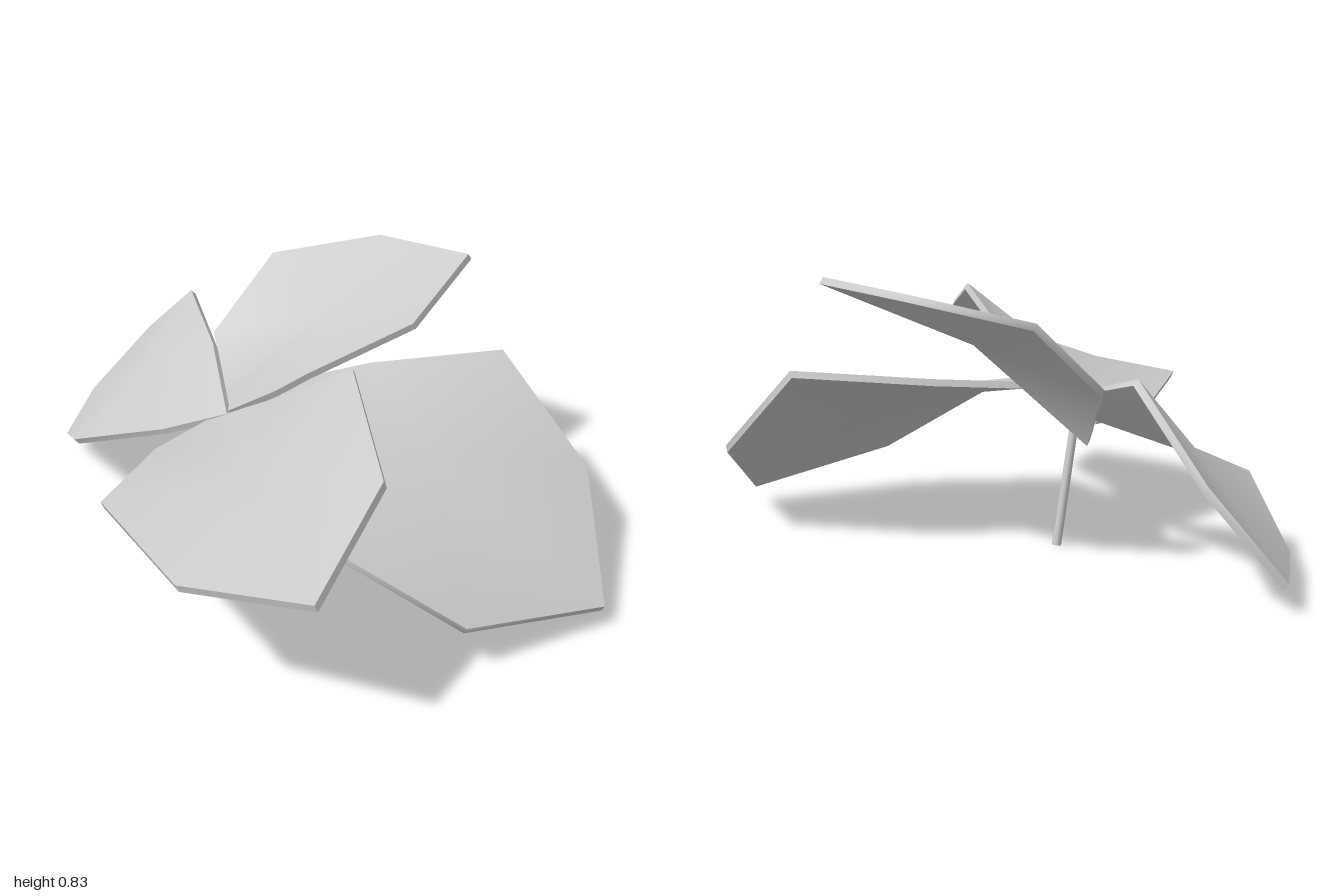
import * as THREE from 'three';
import { toCreasedNormals } from 'three/addons/utils/BufferGeometryUtils.js';

const V = (p) => new THREE.Vector3(...p);
const HALF = 0.011; // half the leaf thickness

// Thin leaf: an outline (counterclockwise from above) fanned round a centre, with a rim
function leafGeometry(outline, centre) {
  const rim = outline.map(V), c = V(centre), n = rim.length;
  const normal = new THREE.Vector3();
  rim.forEach((p, i) => {
    const a = p.clone().sub(c), b = rim[(i + 1) % n].clone().sub(c);
    normal.add(a.cross(b));
  });
  normal.normalize().multiplyScalar(HALF);
  const up = (p) => p.clone().add(normal), down = (p) => p.clone().sub(normal);
  const pos = [];
  const tri = (...pts) => pts.forEach((p) => pos.push(p.x, p.y, p.z));
  rim.forEach((p, i) => {
    const q = rim[(i + 1) % n];
    tri(up(c), up(p), up(q));
    tri(down(c), down(q), down(p));
    tri(down(p), down(q), up(q));
    tri(down(p), up(q), up(p));
  });
  const g = new THREE.BufferGeometry();
  g.setAttribute('position', new THREE.Float32BufferAttribute(pos, 3));
  return toCreasedNormals(g, 1.0);
}

const LEAVES = {
  frontLeftLeaf: {
    centre: [0.22, 0.41, 0.47],
    outline: [
      [-0.28, 0.385, 0.62], [-0.02, 0.16, 0.9], [0.455, 0.065, 0.99], [0.725, 0.27, 0.66],
      [0.69, 0.54, 0.31], [0.35, 0.51, 0.08], [0.1, 0.49, -0.02], [-0.18, 0.45, 0.26],
    ],
  },
  backLeftLeaf: {
    centre: [0.3, 0.64, -0.06],
    outline: [
      [-0.065, 0.41, -0.09], [-0.01, 0.53, 0.07], [0.03, 0.61, 0.16], [0.36, 0.71, 0.255],
      [0.665, 0.82, 0.17], [0.6, 0.79, -0.16], [0.35, 0.715, -0.395], [0.1, 0.51, -0.385],
      [0.06, 0.35, -0.28],
    ],
  },
  frontRightLeaf: {
    centre: [-0.33, 0.52, 0.38],
    outline: [
      [-0.06, 0.4, -0.09], [-0.1, 0.375, -0.135], [-0.34, 0.375, -0.09], [-0.67, 0.435, 0.13],
      [-0.725, 0.43, 0.56], [-0.58, 0.52, 0.93], [-0.23, 0.655, 0.78], [-0.015, 0.75, 0.41],
      [-0.005, 0.51, 0.08],
    ],
  },
  backLeaf: {
    centre: [-0.09, 0.35, -0.55],
    outline: [
      [-0.07, 0.4, -0.09], [0.05, 0.51, -0.32], [0.155, 0.57, -0.58], [0.16, 0.325, -0.85],
      [0, 0.07, -0.99], [-0.24, 0.07, -0.78], [-0.38, 0.235, -0.49], [-0.22, 0.34, -0.22],
    ],
  },
};

export function createModel() {
  const group = new THREE.Group();
  const material = new THREE.MeshStandardMaterial({ color: 0xcccccc });

  for (const [name, { outline, centre }] of Object.entries(LEAVES)) {
    const leaf = new THREE.Mesh(leafGeometry(outline, centre), material);
    leaf.name = name;
    group.add(leaf);
  }

  // Slim leaning stem under the meeting point of the leaves
  const foot = V([0.03, 0.004, -0.1]), head = V([-0.065, 0.41, -0.08]);
  const axis = head.clone().sub(foot);
  const stem = new THREE.Mesh(new THREE.CylinderGeometry(0.013, 0.014, axis.length(), 8), material);
  stem.position.copy(foot).add(head).multiplyScalar(0.5);
  stem.quaternion.setFromUnitVectors(new THREE.Vector3(0, 1, 0), axis.normalize());
  stem.name = 'stem';
  group.add(stem);

  return group;
}
